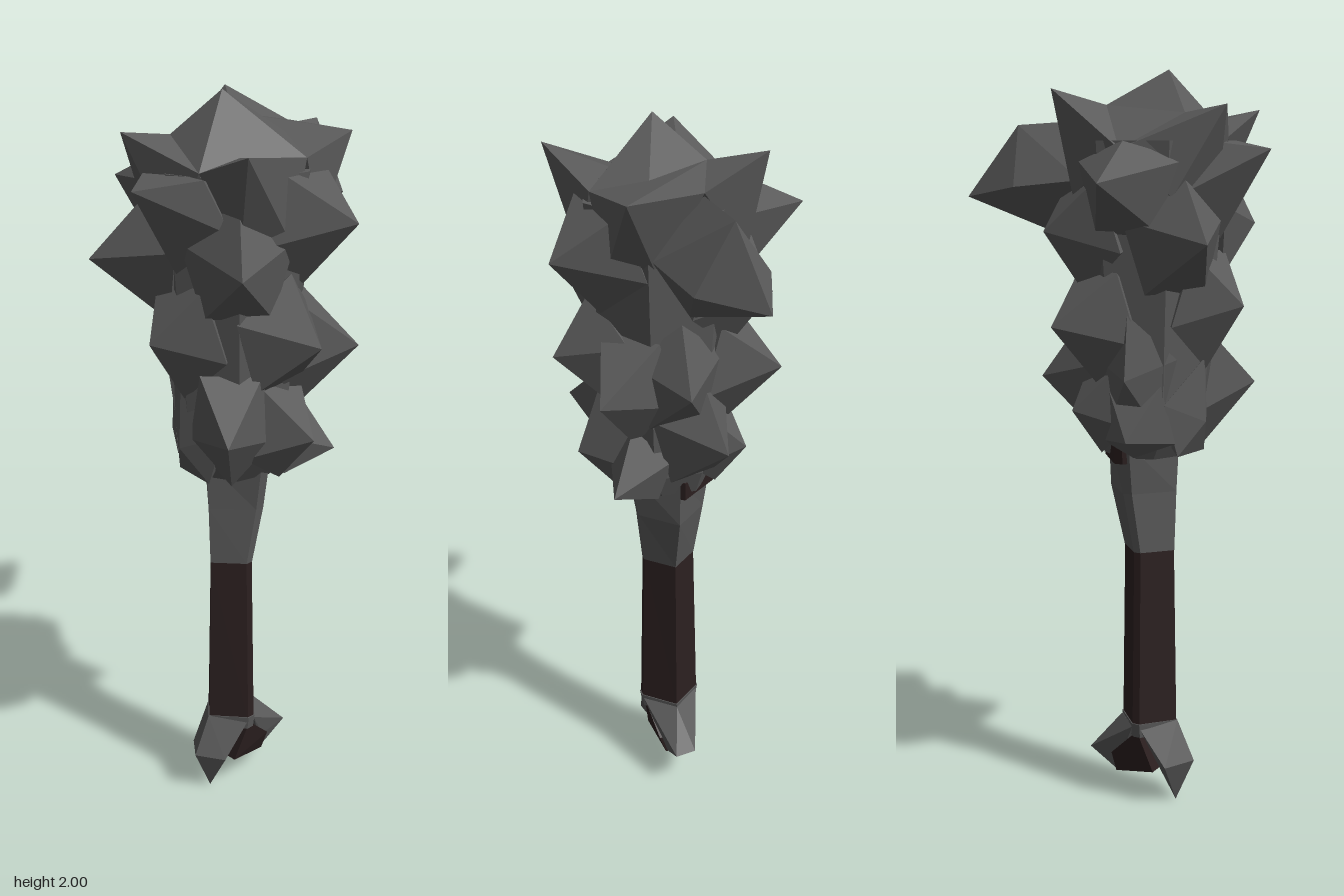
import * as THREE from 'three';
import { ConvexGeometry } from 'three/addons/geometries/ConvexGeometry.js';

const stone = new THREE.MeshStandardMaterial({ color: 0x5a5a5a });
stone.name = 'grey stone';
const wrap = new THREE.MeshStandardMaterial({ color: 0x2c2020 });
wrap.name = 'dark leather';

// Blunted diamond cross-section of the handle, unit half width in x and z
const DIAMOND = [[0, 1], [1, 0.13], [1, -0.13], [0, -1], [-1, -0.13], [-1, 0.13]];
const HEPTAGON = Array.from({ length: 7 }, (_, i) => {
  const a = (i / 7) * Math.PI * 2;
  return [Math.sin(a), Math.cos(a)];
});
const CX = 0.03;

function mesh(name, geometry, material) {
  const flat = geometry.index ? geometry.toNonIndexed() : geometry;
  flat.computeVertexNormals();
  const m = new THREE.Mesh(flat, material);
  m.name = name;
  return m;
}

const hull = (name, points, material) =>
  mesh(name, new ConvexGeometry(points.map((p) => new THREE.Vector3(...p))), material);

// Loft through rings of [y, centreX, centreZ, halfX, halfZ] with closed ends
function loft(name, section, rings, material) {
  const n = section.length, pos = [], idx = [];
  for (const [y, x, z, rx, rz] of rings)
    for (const [u, v] of section) pos.push(x + u * rx, y, z + v * rz);
  for (let r = 0; r < rings.length - 1; r++)
    for (let i = 0; i < n; i++) {
      const a = r * n + i, b = r * n + (i + 1) % n;
      idx.push(a, b, a + n, b, b + n, a + n);
    }
  const top = (rings.length - 1) * n;
  for (let i = 1; i < n - 1; i++) idx.push(0, i + 1, i, top, top + i, top + i + 1);
  const g = new THREE.BufferGeometry();
  g.setAttribute('position', new THREE.Float32BufferAttribute(pos, 3));
  g.setIndex(idx);
  return mesh(name, g, material);
}

// Head core: axis and radius by height
const AX = 0.04, AZ = 0.075;
const coreRadius = (y) => 0.155 + 0.09 * (y - 1.1);

// Broad pyramid: a five-cornered foot wrapped on the core, drawn out to the tip
function spike([x, y, z, spread = 0.8, rise = 0.17], i) {
  const mid = THREE.MathUtils.clamp(y, 1.08, 1.74);
  const heading = Math.atan2(x - AX, z - AZ);
  const points = [[x, y, z], [AX, mid, AZ]];
  for (let k = 0; k < 5; k++) {
    const a = (k / 5) * Math.PI * 2 + (i % 2 ? Math.PI / 2 : -Math.PI / 2);
    const t = heading + spread * Math.cos(a);
    const h = THREE.MathUtils.clamp(mid + rise * Math.sin(a), 1.0, 1.82);
    const r = coreRadius(h);
    points.push([AX + r * Math.sin(t), h, AZ + r * Math.cos(t)]);
  }
  return hull('spike' + (i + 1), points, stone);
}

export function createModel() {
  const model = new THREE.Group();
  model.name = 'spikedClub';

  // Handle
  model.add(loft('grip', DIAMOND, [
    [0.23, CX, 0.082, 0.083, 0.083],
    [0.73, CX, 0.079, 0.072, 0.075],
  ], wrap));
  model.add(loft('neck', DIAMOND, [
    [0.725, CX, 0.079, 0.073, 0.076],
    [0.89, CX, 0.06, 0.093, 0.1],
    [1.03, CX, 0.06, 0.115, 0.107],
  ], stone));
  model.add(loft('neckBand', DIAMOND, [
    [0.975, 0.018, 0.045, 0.105, 0.096],
    [1.03, 0.018, 0.045, 0.112, 0.1],
  ], wrap));

  // Forked pommel
  const pommel = new THREE.Group();
  pommel.name = 'pommel';
  pommel.add(loft('pommelCap', DIAMOND, [
    [0.2, CX, 0.082, 0.08, 0.083],
    [0.24, CX, 0.082, 0.086, 0.086],
  ], stone));
  pommel.add(hull('frontProng', [
    [-0.052, 0.23, 0.09], [0.112, 0.23, 0.09], [CX, 0.24, 0.168], [CX, 0.21, 0.08],
    [CX, 0.13, 0.22], [-0.04, 0.12, 0.165], [0.095, 0.12, 0.165],
    [CX, 0.005, 0.165], [CX, 0.1, 0.12],
  ], stone));
  pommel.add(hull('backProng', [
    [-0.052, 0.23, 0.07], [0.112, 0.23, 0.07], [CX, 0.23, -0.005], [CX, 0.21, 0.08],
    [0.0, 0.125, -0.09], [0.06, 0.125, -0.1], [0.0, 0.075, -0.01], [0.06, 0.075, -0.01],
    [-0.02, 0.13, 0.005], [0.08, 0.13, 0.005],
  ], stone));
  pommel.add(hull('pommelCore', [
    [-0.045, 0.215, 0.08], [0.105, 0.215, 0.08],
    [-0.025, 0.095, 0.12], [0.085, 0.095, 0.12],
    [-0.025, 0.13, -0.01], [0.085, 0.13, -0.01],
    [-0.005, 0.07, -0.005], [0.065, 0.07, -0.005],
  ], wrap));
  model.add(pommel);

  // Head core
  const head = new THREE.Group();
  head.name = 'head';
  head.add(loft('headCore', HEPTAGON, [
    [0.99, CX, 0.065, 0.11, 0.11],
    ...[1.06, 1.24, 1.55, 1.82].map((y) => [y, AX, AZ, coreRadius(y), coreRadius(y)]),
  ], stone));

  // Crown: faceted peaks sharing their valley corners
  const west = [-0.17, 1.8, 0.09], mid = [-0.05, 1.91, -0.01], back = [0, 1.88, -0.15];
  const east = [0.24, 1.85, 0.02], dip = [0.11, 1.87, -0.055], notch = [0.13, 1.85, 0.14];
  const front = [0.12, 1.83, 0.26], south = [-0.04, 1.89, 0.21], heart = [0.04, 1.6, 0.07];
  const peaks = {
    crownSummit: [[0.05, 2.0, 0.12], mid, dip, east, notch, front, south, heart],
    crownBack: [[0.2, 1.88, -0.18], mid, dip, east, back, heart, [0.22, 1.66, -0.05], [0.1, 1.65, -0.1]],
    crownWest: [west, mid, south, heart, [-0.12, 1.62, 0.1]],
    crownFrontLeft: [[0.3, 1.9, 0.27], east, notch, front, heart, [0.2, 1.65, 0.2], [0.25, 1.65, 0.08]],
    crownFrontRight: [[-0.07, 1.91, 0.34], west, south, front, heart, [-0.13, 1.68, 0.22], [0.03, 1.65, 0.27]],
    crownBackRight: [[-0.18, 1.95, -0.1], west, mid, back, heart, [-0.14, 1.68, -0.06]],
  };
  for (const name in peaks) head.add(hull(name, peaks[name], stone));

  // Spikes: tip x, y, z, then optional foot half angle and half height
  [
    [0.05, 1.8, 0.41], [-0.36, 1.72, 0.13], [0.36, 1.7, -0.04],
    [-0.2, 1.57, 0.35], [-0.19, 1.59, -0.12], [0.28, 1.6, 0.27],
    [0.03, 1.4, 0.35], [0.34, 1.4, 0.06], [-0.24, 1.35, -0.07], [0.05, 1.36, -0.21],
    [0.27, 1.34, -0.15], [-0.16, 1.21, 0.1], [0.25, 1.17, 0.29], [0.02, 1.09, 0.25],
    [0.29, 1.13, 0.03], [-0.05, 1.19, -0.21], [-0.17, 1.05, 0.11, 0.8, 0.14],
    [0.23, 1.05, -0.11, 0.7, 0.13], [-0.15, 1.12, -0.06, 0.7, 0.13],
  ].forEach((s, i) => head.add(spike(s, i)));

  // Large hooked horn at the back
  head.add(hull('backHorn', [
    [-0.03, 1.86, -0.29], [-0.08, 1.67, -0.42], [0.07, 1.68, -0.29], [-0.14, 1.7, -0.24],
    [0.0, 1.62, -0.25], [0.13, 1.72, -0.15], [-0.14, 1.72, -0.04], [0.0, 1.87, -0.13],
    [0.02, 1.54, -0.1],
  ], stone));
  model.add(head);

  return model;
}
